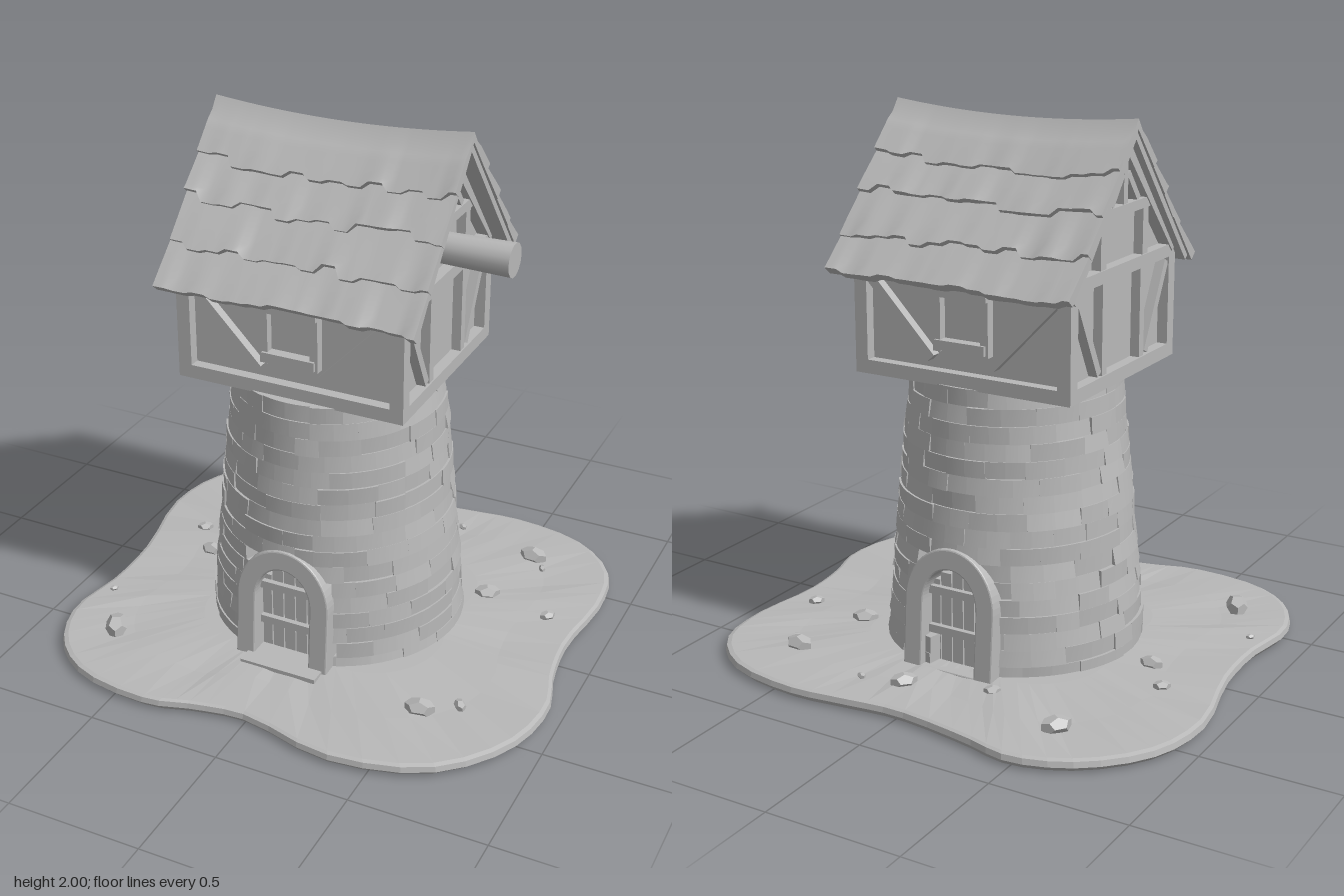
import * as THREE from 'three';
import { mergeGeometries } from 'three/addons/utils/BufferGeometryUtils.js';

const grey = new THREE.MeshStandardMaterial({ color: 0xb8b8b8 });
grey.name = 'plainGrey';

let seed = 7;
const rnd = () => (seed = (seed * 16807) % 2147483647) / 2147483647;
const vary = (a) => (rnd() * 2 - 1) * a;

function add(parent, name, geometry, x = 0, y = 0, z = 0) {
  const m = new THREE.Mesh(geometry, grey);
  m.name = name;
  m.position.set(x, y, z);
  parent.add(m);
  return m;
}

// Move every vertex of a geometry by a rule
function warp(geo, rule) {
  const p = geo.attributes.position;
  const v = new THREE.Vector3();
  for (let i = 0; i < p.count; i++) {
    v.fromBufferAttribute(p, i);
    rule(v);
    p.setXYZ(i, v.x, v.y, v.z);
  }
  geo.computeVertexNormals();
  return geo;
}

// Square timber between two points of a wall face
function beam(parent, name, [x1, y1], [x2, y2], z, w = 0.035, d = 0.04) {
  const g = new THREE.BoxGeometry(Math.hypot(x2 - x1, y2 - y1), w, d);
  const m = add(parent, name, g, (x1 + x2) / 2, (y1 + y2) / 2, z);
  m.rotation.z = Math.atan2(y2 - y1, x2 - x1);
}

// Wavy island of earth, built from scaled rings of one outline
function ground() {
  const outline = [[-0.95, -0.35], [-0.9, -0.6], [-0.72, -0.8], [-0.5, -0.88], [-0.3, -0.84], [0, -0.8], [0.2, -0.82],
    [0.42, -0.84], [0.7, -0.78], [0.87, -0.62], [0.91, -0.4], [0.88, -0.1], [0.9, 0.1], [0.95, 0.3], [0.9, 0.55],
    [0.7, 0.78], [0.35, 0.87], [0, 0.8], [-0.2, 0.83], [-0.35, 0.87], [-0.65, 0.83], [-0.82, 0.7], [-0.9, 0.5],
    [-0.87, 0.25], [-0.88, 0]].map(([x, z]) => new THREE.Vector3(x, 0, z));
  const n = 72;
  const pts = new THREE.CatmullRomCurve3(outline, true).getPoints(n).slice(0, n);
  const rings = [[0, 0], [0.98, 0], [1, 0.02], [0.995, 0.04], [0.98, 0.045], [0.75, 0.048], [0.5, 0.058], [0, 0.06]];
  const pos = [], idx = [];
  rings.forEach(([s, y], r) => pts.forEach((p, i) => {
    pos.push(p.x * s, y + (r === 5 ? 0.006 * Math.sin(i * 0.9) + vary(0.004) : 0), p.z * s);
    if (!r) return;
    const j = (i + 1) % n, a = (r - 1) * n, b = r * n;
    idx.push(a + i, b + j, a + j, a + i, b + i, b + j);
  }));
  let g = new THREE.BufferGeometry();
  g.setAttribute('position', new THREE.Float32BufferAttribute(pos, 3));
  g.setIndex(idx);
  g = g.toNonIndexed();
  g.computeVertexNormals();
  return g;
}

// Tower cross-section: tapered ellipse; a = 0 faces the front
const TX = -0.015;
function towerPoint(a, y, inset) {
  const k = (y - 0.04) / 1.04;
  return [Math.sin(a) * (0.482 - 0.108 * k - inset), Math.cos(a) * (0.472 - 0.06 * k - inset)];
}

function tower(root) {
  const core = new THREE.CylinderGeometry(1, 1, 1.06, 48, 6);
  warp(core, (v) => {
    const cap = Math.hypot(v.x, v.z) < 0.5;
    const y = v.y + 0.56;
    const [x, z] = towerPoint(Math.atan2(v.x, v.z), y, 0.07);
    v.set(cap ? 0 : x, y, cap ? 0 : z);
  });
  add(root, 'towerCore', core, TX);

  // Courses of bent stone blocks, left out at the two doorways
  const stones = [], rows = 17, h = 1.05 / rows;
  for (let r = 0; r < rows; r++) {
    const y0 = 0.035 + r * h, count = 14 + Math.floor(rnd() * 5), start = rnd();
    const cuts = Array.from({ length: count }, (_, i) => ((i + start + vary(0.25)) / count) * Math.PI * 2);
    cuts.push(cuts[0] + Math.PI * 2);
    for (let i = 0; i < count; i++) {
      const pieces = 2, span = (cuts[i + 1] - cuts[i]) / pieces;
      const out = vary(0.005), tilt = vary(0.004);
      for (let q = 0; q < pieces; q++) {
        const a0 = cuts[i] + q * span;
        const [cx] = towerPoint(a0 + span / 2, y0, 0);
        if (Math.abs(cx) < 0.15 && y0 < 0.41) continue;
        stones.push(warp(new THREE.BoxGeometry(1, 1, 1, 3, 1, 1), (v) => {
          const a = a0 + (v.x + 0.5) * span;
          const y = y0 + (v.y + 0.5) * h;
          const [x, z] = towerPoint(a, y, v.z > 0 ? -out - tilt * v.y * 2 : 0.08);
          v.set(x, y, z);
        }));
      }
    }
  }
  add(root, 'towerStones', mergeGeometries(stones), TX);
}

function archPath(shape, w, spring, top) {
  shape.moveTo(-w, 0);
  shape.lineTo(w, 0);
  shape.lineTo(w, spring);
  shape.absellipse(0, spring, w, top - spring, 0, Math.PI, false);
  shape.lineTo(-w, 0);
  return shape;
}

function doorway(root, name, turn) {
  const g = new THREE.Group();
  g.name = name;
  g.position.x = TX;
  g.rotation.y = turn;
  const s = archPath(new THREE.Shape(), 0.177, 0.25, 0.45);
  s.holes.push(archPath(new THREE.Path(), 0.115, 0.25, 0.385));
  const arch = add(g, 'stoneArch', new THREE.ExtrudeGeometry(s, {
    depth: 0.1, bevelEnabled: true, bevelSize: 0.006, bevelThickness: 0.006, bevelSegments: 2, curveSegments: 14,
  }), 0, 0.045, 0.382);
  arch.rotation.x = -0.07;
  // plank door with two crossbars
  for (let i = -2; i <= 2; i++) {
    add(g, 'doorPlank', new THREE.BoxGeometry(0.042, 0.38 - Math.abs(i) * 0.03, 0.03), i * 0.047, 0.235 - Math.abs(i) * 0.015, 0.395);
  }
  for (const y of [0.18, 0.33]) add(g, 'doorCrossbar', new THREE.BoxGeometry(0.23, 0.03, 0.03), 0, y, 0.415);
  root.add(g);
}

// Timber frame shared by all four walls; z is the outer face
function wallFrame(parent, half, z) {
  beam(parent, 'sillBeam', [-half, 1.105], [half, 1.105], z - 0.02, 0.05);
  beam(parent, 'topBeam', [-half, 1.475], [half, 1.475], z - 0.02, 0.045);
  for (const s of [-1, 1]) beam(parent, 'cornerPost', [s * (half - 0.025), 1.09], [s * (half - 0.025), 1.48], z - 0.025, 0.05, 0.05);
}

function longWall(root, turn) {
  const g = new THREE.Group();
  g.name = turn ? 'backWallTimber' : 'frontWallTimber';
  g.rotation.y = turn;
  const z = 0.388;
  wallFrame(g, 0.43, z);
  for (const s of [-1, 1]) {
    beam(g, 'brace', [s * 0.38, 1.44], [s * 0.12, 1.17], z - 0.025);
    beam(g, 'windowPost', [s * 0.095, 1.2], [s * 0.095, 1.46], z - 0.025, 0.03);
  }
  beam(g, 'windowSill', [-0.1, 1.225], [0.1, 1.225], z - 0.02, 0.035, 0.05);
  beam(g, 'windowHead', [-0.11, 1.42], [0.11, 1.42], z - 0.015, 0.05, 0.05);
  beam(g, 'windowPane', [-0.08, 1.31], [0.08, 1.31], z - 0.04, 0.15, 0.008);
  root.add(g);
}

function gableWall(root, side) {
  const g = new THREE.Group();
  g.name = side > 0 ? 'leftGableTimber' : 'rightGableTimber';
  g.rotation.y = (side * Math.PI) / 2;
  const z = 0.43, zi = z - 0.025;
  wallFrame(g, 0.388, z);
  beam(g, 'collarBeam', [-0.19, 1.68], [0.19, 1.68], z - 0.02);
  beam(g, 'kingPost', [0, 1.69], [0, 1.88], zi, 0.03);
  for (const s of [-1, 1]) {
    beam(g, 'wallPost', [s * 0.14, 1.12], [s * 0.14, 1.46], zi);
    beam(g, 'brace', [s * 0.33, 1.44], [s * 0.175, 1.14], zi, 0.03);
    beam(g, 'gablePost', [s * 0.155, 1.49], [s * 0.155, 1.68], zi, 0.04);
    beam(g, 'gableStrut', [s * 0.1, 1.7], [s * 0.02, 1.8], zi, 0.025);
    beam(g, 'rafter', [s * 0.37, 1.485], [0, 1.89], z - 0.02, 0.04, 0.05);
  }
  root.add(g);
}

// One roof slope: overlapping shingle courses with ragged lower edges
function roofSlope(root, sign) {
  const parts = [], len = 0.665, cols = 40;
  const courses = [[0, 0.29], [0.2, 0.51], [0.42, 0.76], [0.66, 1]];
  const slab = [0, 0.97];
  [slab, ...courses].forEach(([t0, t1], k) => {
    let tooth = 0, lift = 0;
    const ragged = k === 4 ? 0.01 : 0.022;
    const ends = [vary(0.01), vary(0.01)];
    const jag = Array.from({ length: cols + 1 }, (_, i) => {
      if (i % 3 === 0) { tooth = vary(ragged); lift = vary(0.006); }
      return [tooth, lift];
    });
    parts.push(warp(new THREE.BoxGeometry(1, 1, 1, cols, 1, 6), (v) => {
      const [j, up] = jag[Math.round((v.x + 0.5) * cols)];
      const f = v.z + 0.5;
      const s = (t0 + (t1 - t0) * f) * len + (k && f > 0.99 ? j : 0);
      const top = k ? 0.024 + (k > 1 ? 0.024 * f - 0.012 : 0.012 * f) + up * f : 0.012;
      const n = v.y > 0 ? top : k ? 0 : -0.022;
      const x = v.x * (k ? 0.965 + ends[v.x > 0 ? 1 : 0] * f : 0.95);
      const sag = 0.12 * (x * sign + 0.04) ** 2 * (1 - s / len);
      v.set(x, 1.928 + sag - 0.749 * s + n * (s < 0.01 ? 1.5 : 0.663), 0.663 * s + 0.749 * n * Math.min(1, s / 0.06));
    }));
  });
  const m = add(root, sign > 0 ? 'frontRoofSlope' : 'backRoofSlope', mergeGeometries(parts), -0.01, 0, -0.012);
  m.rotation.y = sign > 0 ? 0 : Math.PI;
}

export function createModel() {
  const root = new THREE.Group();
  root.name = 'timberedMillTower';
  add(root, 'ground', ground());

  // loose rocks: x, z, size
  const rocks = [[-0.55, -0.65, 0.045], [0.07, -0.63, 0.04], [0.23, -0.66, 0.016], [0.57, -0.57, 0.045], [0.63, -0.51, 0.016],
    [-0.23, -0.53, 0.025], [0.5, -0.25, 0.04], [0.76, -0.21, 0.025], [-0.61, -0.06, 0.035], [-0.72, -0.2, 0.026],
    [0.67, 0.44, 0.025], [0.55, 0.52, 0.045], [-0.67, 0.56, 0.05], [-0.82, 0.34, 0.014]];
  for (const [x, z, r] of rocks) {
    const m = add(root, 'rock', new THREE.DodecahedronGeometry(r), x, 0.05 + r * 0.3, z);
    m.scale.set(0.85, 0.75, 1.3);
    m.rotation.y = rnd() * 6;
  }

  tower(root);
  doorway(root, 'frontDoorway', 0);
  doorway(root, 'backDoorway', Math.PI);
  add(root, 'doorStep', new THREE.BoxGeometry(0.3, 0.03, 0.13), 0, 0.05, 0.48);

  // upper house: plaster box, attic prism and timber
  const house = new THREE.Group();
  house.name = 'upperHouse';
  house.position.set(-0.025, 0, -0.012);
  add(house, 'plasterWalls', new THREE.BoxGeometry(0.78, 0.4, 0.696), 0, 1.285, 0);
  const tri = new THREE.Shape([[-0.37, 1.475], [0.37, 1.475], [0, 1.89]].map(([x, y]) => new THREE.Vector2(x, y)));
  const attic = add(house, 'atticWalls', new THREE.ExtrudeGeometry(tri, { depth: 0.78, bevelEnabled: false }), -0.39);
  attic.rotation.y = Math.PI / 2;
  longWall(house, 0);
  longWall(house, Math.PI);
  gableWall(house, 1);
  gableWall(house, -1);
  add(house, 'floorSlab', new THREE.BoxGeometry(0.84, 0.03, 0.76), 0, 1.097, 0);
  root.add(house);

  roofSlope(root, 1);
  roofSlope(root, -1);

  // sail axle
  const axle = add(root, 'axle', new THREE.CylinderGeometry(0.062, 0.056, 0.28, 14), 0.49, 1.568, -0.02);
  axle.rotation.z = -Math.PI / 2;
  return root;
}
